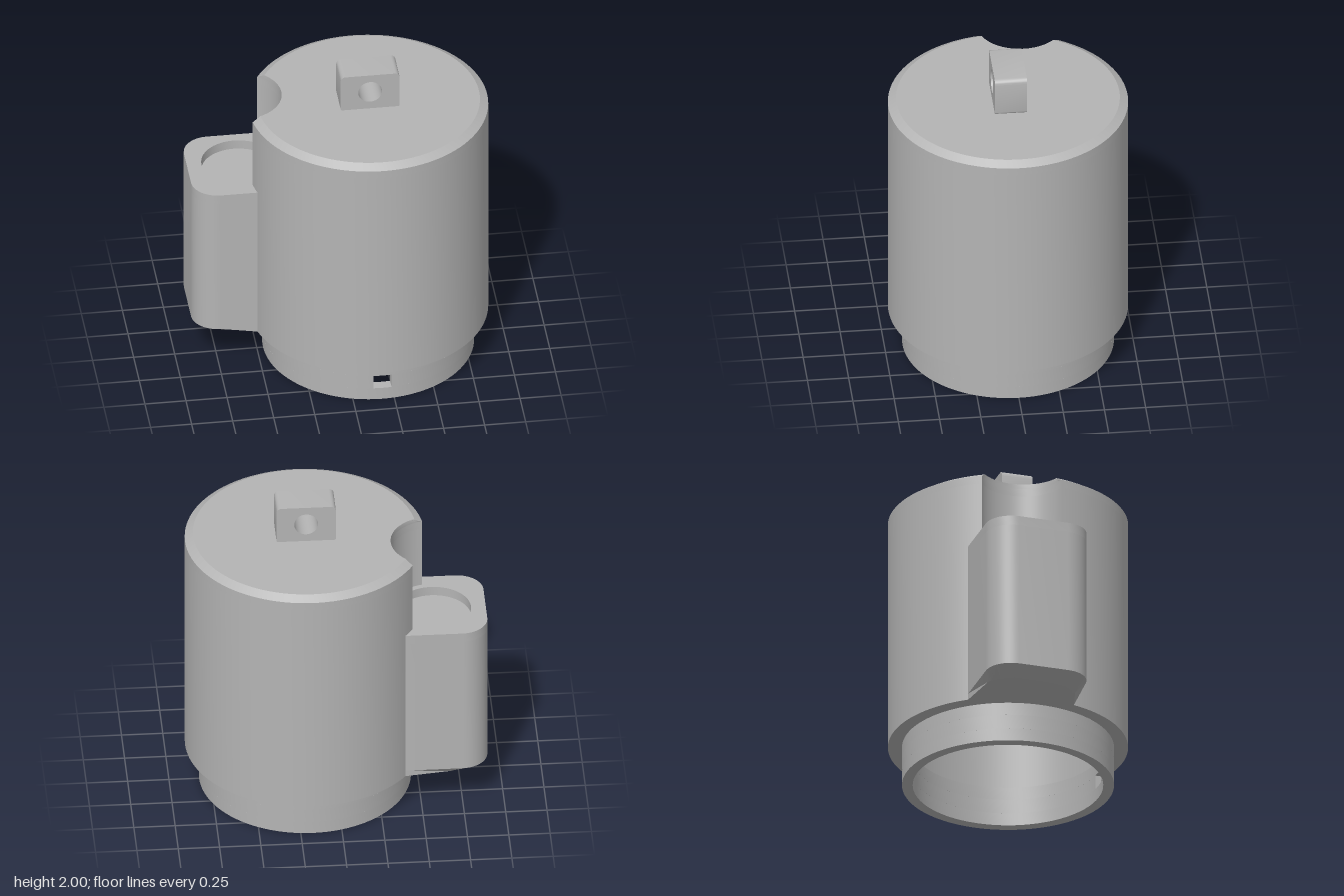
import * as THREE from 'three';
import { toCreasedNormals } from 'three/addons/utils/BufferGeometryUtils.js';

const CX = 0.178, R = 0.725;              // main housing axis and radius
const NX = -0.59, NZ = -0.15, NR = 0.26;  // side pocket axis and clearance radius
const TAU = Math.PI * 2;

const arc = (cx, cz, r, a, b, n) => Array.from({ length: n + 1 }, (_, i) => {
  const t = a + (b - a) * i / n;
  return new THREE.Vector2(cx + r * Math.cos(t), cz + r * Math.sin(t));
});
const circle = (cx, cz, r, n = 96) => arc(cx, cz, r, 0, TAU, n).slice(0, -1);

// Round outline with a concave bite around the pocket axis
function notched(r, nr) {
  const d = Math.hypot(NX - CX, NZ), a0 = Math.atan2(NZ, NX - CX);
  const al = Math.acos((r * r + d * d - nr * nr) / (2 * r * d));
  const be = Math.acos((nr * nr + d * d - r * r) / (2 * nr * d));
  const rim = arc(CX, 0, r, a0 + al, a0 + TAU - al, 96);
  const bite = arc(NX, NZ, nr, a0 + Math.PI + be, a0 + Math.PI - be, 24);
  return { bite, all: [...rim, ...bite.slice(1, -1)] };
}

// Extrude an (x, z) outline between two heights
function slab(points, y0, y1, hole) {
  const shape = new THREE.Shape(points);
  if (hole) shape.holes.push(new THREE.Path(hole));
  const g = new THREE.ExtrudeGeometry(shape, { depth: y1 - y0, bevelEnabled: false });
  return g.rotateX(Math.PI / 2).translate(0, y1, 0);
}

// Chamfered edge band and lid between two matching outlines
function chamferedLid(lower, upper, y0, y1) {
  const pos = [], n = lower.length;
  for (let i = 0; i < n; i++) {
    const j = (i + 1) % n;
    const a = [lower[i].x, y0, lower[i].y], b = [lower[j].x, y0, lower[j].y];
    const c = [upper[j].x, y1, upper[j].y], d = [upper[i].x, y1, upper[i].y];
    pos.push(...a, ...c, ...b, ...a, ...d, ...c);
  }
  for (const [i, j, k] of THREE.ShapeUtils.triangulateShape(upper, [])) {
    for (const v of [i, k, j]) pos.push(upper[v].x, y1, upper[v].y);
  }
  const g = new THREE.BufferGeometry();
  g.setAttribute('position', new THREE.Float32BufferAttribute(pos, 3));
  return g;
}

export function createModel() {
  const group = new THREE.Group();
  const grey = new THREE.MeshStandardMaterial({ color: 0xb4b4b4 });
  grey.name = 'plain grey';
  const add = (name, g) => {
    const mesh = new THREE.Mesh(toCreasedNormals(g, 0.45), grey);
    mesh.name = name;
    group.add(mesh);
  };

  // Hollow housing with the pocket bite, closed by a chamfered lid
  const outer = notched(R, NR);
  add('housingWall', slab(outer.all, 0.25, 1.68, notched(0.64, 0.29).all));
  add('housingCeiling', slab(outer.all, 1.68, 1.73));
  add('lid', chamferedLid(outer.all, notched(0.675, NR).all, 1.73, 1.76));

  // Open collar below, with a small square window in the front
  const ro = 0.64, ri = 0.575, w = 0.055;
  const ao = Math.asin(w / ro), ai = Math.asin(w / ri), q = Math.PI / 2;
  const gapped = [
    ...arc(CX, 0, ro, q + ao, q + TAU - ao, 96),
    ...arc(CX, 0, ri, q + TAU - ai, q + ai, 96),
  ];
  add('collarBottom', slab(circle(CX, 0, ro), 0, 0.08, circle(CX, 0, ri)));
  add('collarWindowBand', slab(gapped, 0.08, 0.17));
  add('collarTop', slab(circle(CX, 0, ro), 0.17, 0.25, circle(CX, 0, ri)));

  // Side pocket: rounded outer corners, inner side follows the bite
  const x0 = -0.905, z0 = -0.44, z1 = 0.19, cr = 0.16;
  const onHousing = z => new THREE.Vector2(CX - Math.sqrt(R * R - z * z), z);
  const pocket = [
    onHousing(z1),
    ...arc(x0 + cr, z1 - cr, cr, q, Math.PI, 12),
    ...arc(x0 + cr, z0 + cr, cr, Math.PI, Math.PI + q, 12),
    onHousing(z0),
    ...outer.bite.slice().reverse(),
  ];
  add('pocketRim', slab(pocket, 1.21, 1.27, circle(NX, NZ, 0.226, 64)));
  add('pocketBody', slab(pocket, 0.29, 1.21));

  // Underside tapers in towards the outer corners
  const base = slab(pocket, 0.25, 0.29);
  const p = base.attributes.position;
  for (let i = 0; i < p.count; i++) {
    const x = p.getX(i), z = p.getZ(i);
    if (p.getY(i) > 0.27 || x > -0.56) continue;
    const t = Math.min(1, (-0.56 - x) / 0.3);
    p.setX(i, x + 0.115 * t);
    p.setZ(i, NZ + (z - NZ) * (1 - 0.2 * t));
  }
  add('pocketBase', base);

  // Hanging lug with a cross hole
  const lx0 = -0.003, lx1 = 0.357, ly0 = 1.757, ly1 = 2, lr = 0.03;
  const lug = new THREE.Shape([
    ...arc(lx1 - lr, ly1 - lr, lr, 0, q, 5),
    ...arc(lx0 + lr, ly1 - lr, lr, q, 2 * q, 5),
    ...arc(lx0 + lr / 2, ly0 + lr / 2, lr / 2, 2 * q, 3 * q, 4),
    ...arc(lx1 - lr / 2, ly0 + lr / 2, lr / 2, 3 * q, 4 * q, 4),
  ]);
  lug.holes.push(new THREE.Path(circle(0.177, 1.88, 0.072, 40)));
  add('hangingLug', new THREE.ExtrudeGeometry(lug, { depth: 0.195, bevelEnabled: false })
    .translate(0, 0, -0.0975));

  return group;
}
